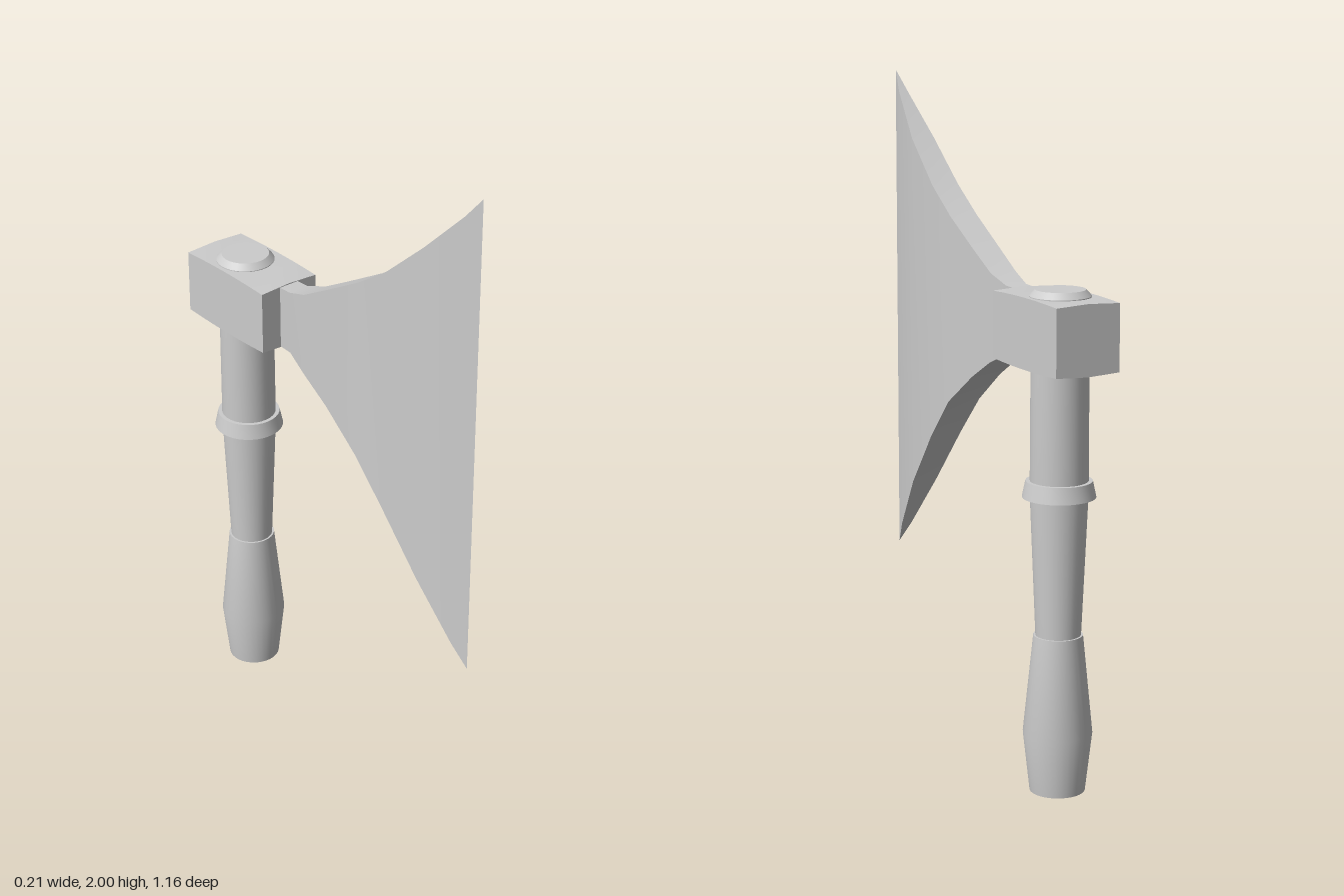
import * as THREE from 'three';
import { toCreasedNormals } from 'three/addons/utils/BufferGeometryUtils.js';

const material = new THREE.MeshStandardMaterial({ color: 0xcccccc });
const HANDLE_Z = -0.43;

function addPart(group, name, geometry, z = 0) {
  const mesh = new THREE.Mesh(toCreasedNormals(geometry, 0.45), material);
  mesh.name = name;
  mesh.position.z = z;
  group.add(mesh);
  return mesh;
}

// Turned part from [radius, height] pairs, bottom to top
function turned(profile) {
  return new THREE.LatheGeometry(profile.map(([r, y]) => new THREE.Vector2(r, y)), 32);
}

// Four-cornered cross-sections lofted along z: [z, low y, high y, low half width, high half width]
function bladeGeometry(sections) {
  const positions = [];
  const index = [];
  for (const [z, lo, hi, wLo, wHi] of sections) {
    positions.push(-wLo, lo, z, wLo, lo, z, wHi, hi, z, -wHi, hi, z);
  }
  for (let i = 0; i < sections.length - 1; i++) {
    for (let j = 0; j < 4; j++) {
      const a = i * 4 + j;
      const b = i * 4 + (j + 1) % 4;
      index.push(a, b, b + 4, a, b + 4, a + 4);
    }
  }
  const geometry = new THREE.BufferGeometry();
  geometry.setAttribute('position', new THREE.Float32BufferAttribute(positions, 3));
  geometry.setIndex(index);
  return geometry;
}

// Block whose top and bottom fall away slightly towards the ends
function headGeometry() {
  const geometry = new THREE.BoxGeometry(0.2, 0.202, 0.357, 2, 1, 6);
  const p = geometry.attributes.position;
  for (let i = 0; i < p.count; i++) {
    const t = Math.abs(p.getZ(i)) / 0.1785;
    const u = Math.abs(p.getX(i)) / 0.1;
    p.setY(i, p.getY(i) * (1 - 0.05 * t * t * u));
  }
  return geometry;
}

export function createModel() {
  const group = new THREE.Group();
  group.name = 'axe';

  // Handle: swollen grip, then a shaft widening upwards
  addPart(group, 'grip', turned([
    [0, 0], [0.08, 0], [0.1, 0.175], [0.071, 0.465], [0, 0.465],
  ]), HANDLE_Z);
  addPart(group, 'shaft', turned([
    [0.065, 0.46], [0.083, 0.88], [0.082, 1.25],
  ]), HANDLE_Z);
  addPart(group, 'collar', turned([
    [0.07, 0.868], [0.105, 0.868], [0.095, 0.915], [0.07, 0.915],
  ]), HANDLE_Z);

  // Head block with the handle's end showing on top
  addPart(group, 'headBlock', headGeometry(), -0.4025).position.y = 1.335;
  addPart(group, 'topCap', turned([
    [0.087, 1.42], [0.087, 1.438], [0.083, 1.443], [0.071, 1.456], [0, 1.456],
  ]), HANDLE_Z);

  // Flaring blade, closing to a straight cutting edge
  addPart(group, 'blade', bladeGeometry([
    [-0.3, 1.24, 1.43, 0.033, 0.033],
    [-0.18, 1.235, 1.434, 0.033, 0.033],
    [-0.104, 1.2, 1.46, 0.044, 0.041],
    [0, 1.14, 1.518, 0.047, 0.043],
    [0.14, 1.04, 1.598, 0.053, 0.044],
    [0.256, 0.915, 1.677, 0.05, 0.043],
    [0.4, 0.74, 1.804, 0.041, 0.037],
    [0.53, 0.57, 1.935, 0.017, 0.015],
    [0.583, 0.5, 2, 0, 0],
  ]));

  return group;
}
